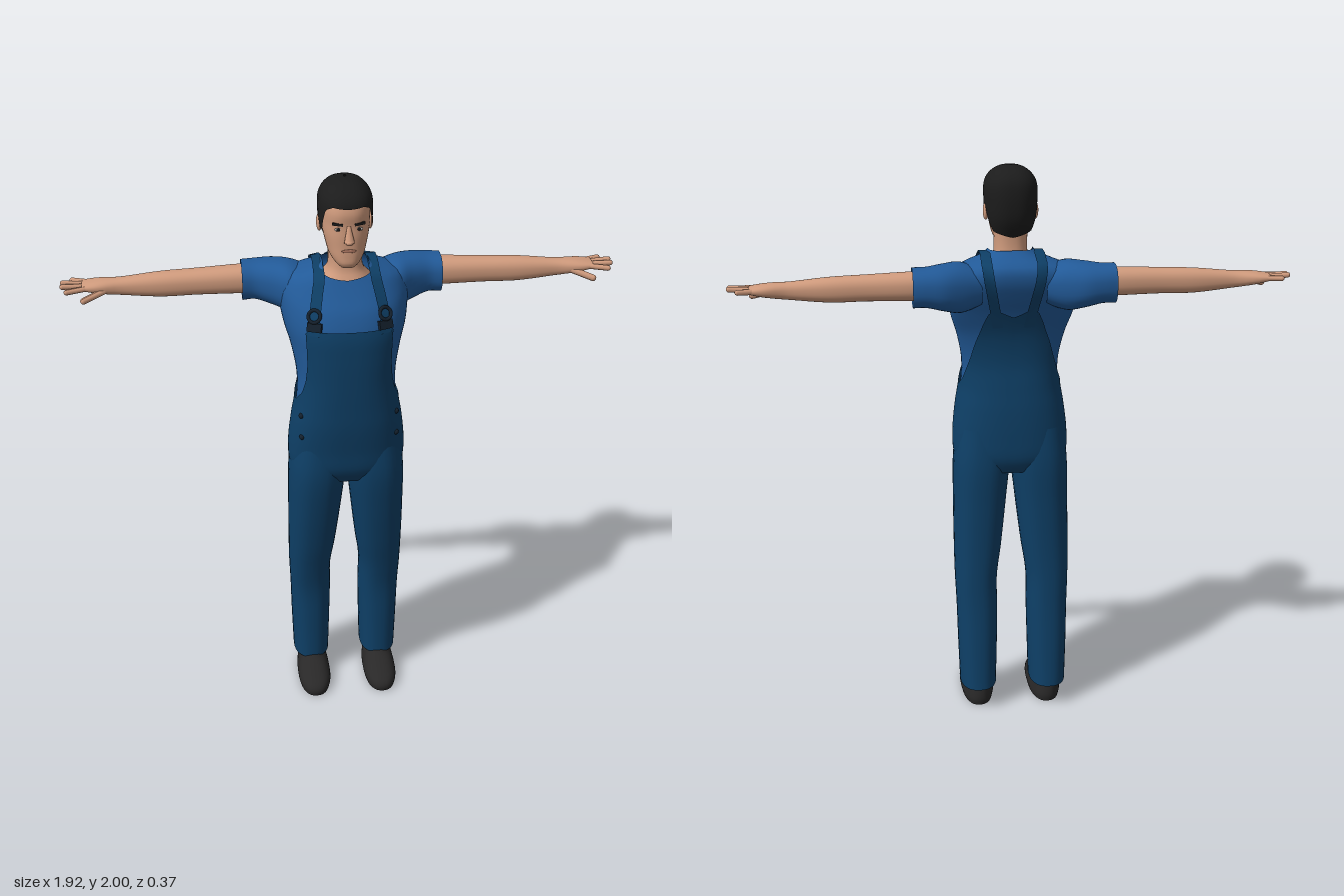
import * as THREE from 'three';

const E = 0.83; // roundness of every cross-section
const V = (x, y, z) => new THREE.Vector3(x, y, z);
const mat = (name, color, side = THREE.FrontSide) => {
  const m = new THREE.MeshStandardMaterial({ color, side });
  m.name = name;
  return m;
};

// Cross-sections: [y, centreX, halfWidth, zFront, zWidest, zBack]
const TORSO = [
  [0.92, 0, 0.17, 0.12, 0.02, -0.08], [0.97, 0, 0.195, 0.15, 0.02, -0.1], [1.05, 0, 0.198, 0.16, 0.03, -0.1],
  [1.15, 0, 0.187, 0.172, 0.04, -0.092], [1.23, 0, 0.174, 0.175, 0.04, -0.08], [1.32, 0, 0.172, 0.177, 0.02, -0.068],
  [1.42, 0, 0.19, 0.177, -0.01, -0.075], [1.5, 0, 0.213, 0.172, -0.045, -0.1], [1.57, 0, 0.222, 0.148, -0.07, -0.13],
  [1.62, 0, 0.218, 0.115, -0.075, -0.148], [1.665, 0, 0.185, 0.086, -0.05, -0.148], [1.685, 0, 0.13, 0.076, -0.03, -0.13],
  [1.7, 0, 0.092, 0.068, -0.01, -0.1], [1.72, 0, 0.074, 0.06, 0, -0.075]];
const LEG = [
  [0.085, 0.13, 0.067, 0.05, -0.05, -0.16], [0.25, 0.13, 0.072, 0.05, -0.045, -0.143], [0.39, 0.13, 0.075, 0.053, -0.035, -0.128],
  [0.5, 0.132, 0.077, 0.073, -0.025, -0.12], [0.62, 0.124, 0.086, 0.102, -0.01, -0.114], [0.8, 0.113, 0.096, 0.138, 0.01, -0.11],
  [0.95, 0.104, 0.102, 0.158, 0.02, -0.108], [1.08, 0.095, 0.095, 0.15, 0.02, -0.09]];
const SHOE = [
  [0, 0.128, 0.058, 0.182, 0.05, -0.118], [0.02, 0.128, 0.062, 0.185, 0.05, -0.122], [0.042, 0.128, 0.059, 0.17, 0.04, -0.12],
  [0.062, 0.128, 0.053, 0.125, 0, -0.115], [0.085, 0.128, 0.047, 0.06, -0.03, -0.11], [0.13, 0.128, 0.042, 0.03, -0.04, -0.1]];
const NECK = [
  [1.61, 0, 0.13, 0.1, -0.03, -0.1], [1.66, 0, 0.085, 0.078, -0.01, -0.09], [1.69, 0, 0.062, 0.062, 0, -0.07],
  [1.73, 0, 0.057, 0.058, 0, -0.062], [1.8, 0, 0.06, 0.06, 0, -0.062]];
const HEAD = [
  [1.722, 0, 0.026, 0.105, 0.075, 0.045], [1.735, 0, 0.042, 0.117, 0.05, 0], [1.76, 0, 0.059, 0.118, 0.03, -0.045],
  [1.79, 0, 0.068, 0.117, 0.02, -0.07], [1.83, 0, 0.077, 0.117, 0.01, -0.09], [1.865, 0, 0.081, 0.115, 0, -0.098],
  [1.91, 0, 0.081, 0.117, 0, -0.098], [1.95, 0, 0.072, 0.1, 0, -0.088], [1.98, 0, 0.045, 0.06, 0, -0.06]];
const HAIR = [
  [1.76, 0, 0.07, 0.1, 0, -0.078], [1.82, 0, 0.085, 0.12, 0, -0.106], [1.88, 0, 0.09, 0.123, 0, -0.115],
  [1.93, 0, 0.09, 0.123, 0, -0.113], [1.96, 0, 0.08, 0.108, 0, -0.103], [1.983, 0, 0.058, 0.078, -0.005, -0.08],
  [1.995, 0, 0.033, 0.045, -0.01, -0.05], [2, 0, 0.004, 0, -0.01, -0.015]];
// Arm sections run along +x after turning: [x, -height, halfHeight, ...]
const SLEEVE = [
  [0.11, -1.6, 0.06, 0, -0.08, -0.14], [0.18, -1.6, 0.084, 0.025, -0.08, -0.17], [0.24, -1.606, 0.078, -0.015, -0.1, -0.188],
  [0.3, -1.611, 0.067, -0.043, -0.115, -0.187], [0.345, -1.61, 0.067, -0.042, -0.112, -0.182]];
const ARM = [
  [0.28, -1.615, 0.05, -0.06, -0.11, -0.16], [0.36, -1.615, 0.048, -0.06, -0.11, -0.16], [0.5, -1.613, 0.044, -0.063, -0.108, -0.152],
  [0.62, -1.61, 0.042, -0.065, -0.107, -0.148], [0.76, -1.61, 0.029, -0.073, -0.105, -0.137], [0.8, -1.612, 0.026, -0.068, -0.105, -0.143],
  [0.84, -1.614, 0.021, -0.064, -0.107, -0.15], [0.885, -1.616, 0.012, -0.068, -0.108, -0.148]];

// Smoothly interpolated cross-section at height y
function section(rows, y) {
  let i = 0;
  while (i < rows.length - 2 && y > rows[i + 1][0]) i++;
  const p0 = rows[Math.max(i - 1, 0)], p1 = rows[i], p2 = rows[i + 1], p3 = rows[Math.min(i + 2, rows.length - 1)];
  const h = p2[0] - p1[0], t = THREE.MathUtils.clamp((y - p1[0]) / h, 0, 1);
  return p1.map((a, k) => {
    const m1 = (p2[k] - p0[k]) / (p2[0] - p0[0]) * h, m2 = (p3[k] - a) / (p3[0] - p1[0]) * h;
    const t2 = t * t, t3 = t2 * t;
    return (2 * t3 - 3 * t2 + 1) * a + (t3 - 2 * t2 + t) * m1 + (3 * t2 - 2 * t3) * p2[k] + (t3 - t2) * m2;
  });
}

// Depth of a lofted surface at a given x, y
function surfaceZ(rows, x, y, front = true) {
  const [, cx, a, zf, zc, zb] = section(rows, y), n = 2 / E;
  const k = Math.max(0, 1 - Math.min(1, Math.abs(x - cx) / a) ** n) ** (1 / n);
  return zc + ((front ? zf : zb) - zc) * k;
}

// Edge line given as [degrees from front, height], the same on both sides
const edge = pts => deg => {
  const d = deg > 180 ? 360 - deg : deg;
  let i = 0;
  while (i < pts.length - 2 && d > pts[i + 1][0]) i++;
  const [a, b] = [pts[i], pts[i + 1]];
  return THREE.MathUtils.lerp(a[1], b[1], THREE.MathUtils.clamp((d - a[0]) / (b[0] - a[0]), 0, 1));
};

// Closed tube through the sections, trimmed by edge lines lo and hi
function loft(rows, { nu = 36, nv = 24, off = 0, lo = () => rows[0][0], hi = () => rows.at(-1)[0], ease = false, capLo = false, capHi = false } = {}) {
  const pos = [], idx = [];
  const pw = v => Math.sign(v) * Math.abs(v) ** E;
  for (let j = 0; j <= nv; j++) for (let i = 0; i < nu; i++) {
    const deg = i / nu * 360, t = deg * Math.PI / 180, v = ease ? Math.sin(j / nv * Math.PI / 2) : j / nv;
    const y = THREE.MathUtils.lerp(lo(deg), hi(deg), v);
    const [, cx, a, zf, zc, zb] = section(rows, y), c = Math.cos(t);
    pos.push(cx + (a + off) * pw(Math.sin(t)), y, zc + (c > 0 ? zf + off - zc : zc - zb + off) * pw(c));
    if (j < nv) {
      const p = j * nu + i, q = j * nu + (i + 1) % nu;
      idx.push(p, q, p + nu, q, q + nu, p + nu);
    }
  }
  for (const [on, j, row] of [[capLo, 0, rows[0]], [capHi, nv, rows.at(-1)]]) {
    if (!on) continue;
    const base = pos.length / 3;
    pos.push(...pos.slice(j * nu * 3, (j + 1) * nu * 3), row[1], row[0], row[4]);
    for (let i = 0; i < nu; i++) {
      const p = base + i, q = base + (i + 1) % nu;
      idx.push(...(j ? [p, q, base + nu] : [q, p, base + nu]));
    }
  }
  return build(pos, idx);
}

function build(pos, idx) {
  const g = new THREE.BufferGeometry();
  g.setAttribute('position', new THREE.Float32BufferAttribute(pos, 3));
  g.setIndex(idx);
  g.computeVertexNormals();
  return g;
}

function mirrored(geo) {
  const g = geo.clone().scale(-1, 1, 1), a = g.index.array;
  for (let i = 0; i < a.length; i += 3) [a[i], a[i + 1]] = [a[i + 1], a[i]];
  g.computeVertexNormals();
  return g;
}

const ball = (x, y, z, sx, sy, sz) => new THREE.SphereGeometry(1, 16, 12).scale(sx, sy, sz).translate(x, y, z);

function finger(a, b, r) {
  const d = b.clone().sub(a), g = new THREE.CapsuleGeometry(r, d.length(), 4, 10);
  g.applyQuaternion(new THREE.Quaternion().setFromUnitVectors(V(0, 1, 0), d.clone().normalize()));
  const m = a.clone().add(b).multiplyScalar(0.5);
  return g.translate(m.x, m.y, m.z);
}

// Ribbon lying on the torso, over the shoulder from bib to back
function strapGeometry() {
  const front = [[0.122, 1.5], [0.119, 1.55], [0.112, 1.59], [0.104, 1.63], [0.097, 1.66], [0.094, 1.68]];
  const back = [[0.094, 1.68], [0.092, 1.66], [0.086, 1.62], [0.076, 1.57], [0.064, 1.51], [0.054, 1.45]];
  const pos = [], idx = [], w = 0.018, lift = 0.013;
  const add = (x, y, z) => { for (const s of [-1, 1]) pos.push(x + s * w, y, z(x + s * w)); };
  front.forEach(([x, y]) => add(x, y + 0.006, q => surfaceZ(TORSO, q, y) + lift));
  add(0.093, 1.71, () => 0.0);
  add(0.093, 1.71, () => -0.06);
  back.forEach(([x, y]) => add(x, y + 0.006, q => surfaceZ(TORSO, q, y, false) - lift));
  for (let i = 0; i < pos.length / 6 - 1; i++) idx.push(2 * i, 2 * i + 1, 2 * i + 2, 2 * i + 1, 2 * i + 3, 2 * i + 2);
  return build(pos, idx);
}

export function createModel() {
  const model = new THREE.Group();
  model.name = 'workman';
  const skin = mat('skin', 0xd09b7d), shirt = mat('shirt blue', 0x225a98, THREE.DoubleSide);
  const denim = mat('overall navy', 0x0e3f66, THREE.DoubleSide), hair = mat('hair black', 0x1c1c1c, THREE.DoubleSide);
  const leather = mat('shoe black', 0x292828), metal = mat('buckle dark', 0x14202c);
  const lips = mat('lips', 0xa9745f), white = mat('eye white', 0xc9c0b8);
  const add = (name, geo, m) => {
    const mesh = new THREE.Mesh(geo, m);
    mesh.name = name;
    model.add(mesh);
  };
  const pair = (name, geo, m) => { add(name + 'Left', geo, m); add(name + 'Right', mirrored(geo), m); };

  // Shirt body and sleeves
  add('shirtBody', loft(TORSO, { nu: 64, nv: 40, lo: () => 1.12, hi: edge([[0, 1.668], [40, 1.69], [80, 1.715], [180, 1.72]]) }), shirt);
  pair('sleeve', loft(SLEEVE, { nv: 16 }).rotateZ(-Math.PI / 2), shirt);

  // Overalls: bib with scooped sides, legs, straps, buckles, buttons
  const bibTop = edge([[0, 1.52], [37, 1.52], [40, 1.46], [45, 1.39], [52, 1.33], [62, 1.275], [80, 1.235], [95, 1.23],
    [110, 1.26], [130, 1.34], [150, 1.44], [163, 1.52], [170, 1.52], [180, 1.495]]);
  add('overallBody', loft(TORSO, { nu: 96, nv: 36, off: 0.008, hi: bibTop, capLo: true }), denim);
  pair('trouserLeg', loft(LEG, { nv: 32 }), denim);
  pair('strap', strapGeometry(), denim);
  const bx = 0.119, bz = surfaceZ(TORSO, bx, 1.54) + 0.014;
  pair('buckle', new THREE.BoxGeometry(0.05, 0.03, 0.014).rotateX(-0.3).rotateY(0.4).translate(bx, 1.535, bz), metal);
  pair('buckleRing', new THREE.TorusGeometry(0.021, 0.006, 8, 16).rotateX(-0.45).rotateY(0.4).translate(bx, 1.572, bz - 0.008), metal);
  for (const y of [1.19, 1.11]) pair('sideButton', ball(0.165, y, surfaceZ(TORSO, 0.16, y) + 0.004, 0.01, 0.01, 0.01), metal);

  // Shoes
  pair('shoe', loft(SHOE, { nv: 16, capLo: true, capHi: true }), leather);

  // Arms and hands
  pair('arm', loft(ARM, { nv: 28, capHi: true }).rotateZ(-Math.PI / 2), skin);
  const fingers = [[-0.077, 0.935, 1.612, -0.06], [-0.098, 0.95, 1.62, -0.09], [-0.119, 0.95, 1.622, -0.12], [-0.138, 0.92, 1.618, -0.152]];
  for (const [z, x, y, tipZ] of fingers) pair('finger', finger(V(0.87, 1.616, z), V(x, y, tipZ), 0.0095), skin);
  pair('thumb', finger(V(0.81, 1.605, -0.078), V(0.88, 1.583, -0.048), 0.0115), skin);

  // Neck, head, ears and nose
  add('neck', loft(NECK, { nv: 16 }), skin);
  add('head', loft(HEAD, { nu: 48, nv: 36, capLo: true, capHi: true }), skin);
  pair('ear', ball(0.085, 1.845, -0.008, 0.01, 0.03, 0.019), skin);
  const nose = new THREE.CylinderGeometry(0.006, 0.018, 0.055, 10).scale(1, 1, 0.9).rotateX(-0.28).translate(0, 1.843, 0.121);
  add('nose', nose, skin);
  add('noseTip', ball(0, 1.82, 0.128, 0.015, 0.011, 0.016), skin);

  // Hair cap with hairline, sideburns and nape
  const hairline = edge([[0, 1.928], [30, 1.932], [48, 1.92], [58, 1.885], [66, 1.845], [80, 1.84], [86, 1.872], [100, 1.872], [108, 1.835], [125, 1.785], [180, 1.765]]);
  add('hair', loft(HAIR, { nu: 72, nv: 24, lo: hairline, ease: true }), hair);

  // Face details
  const onFace = (x, y) => surfaceZ(HEAD, x, y);
  pair('eye', ball(0.034, 1.858, onFace(0.034, 1.858), 0.013, 0.006, 0.003), white);
  pair('pupil', ball(0.034, 1.858, onFace(0.034, 1.858) + 0.002, 0.006, 0.006, 0.003), hair);
  pair('eyebrow', new THREE.BoxGeometry(0.036, 0.008, 0.008).rotateZ(0.08).rotateY(0.25).translate(0.036, 1.875, onFace(0.036, 1.875)), hair);
  add('mouth', ball(0, 1.785, onFace(0, 1.785), 0.025, 0.006, 0.004), lips);
  return model;
}
